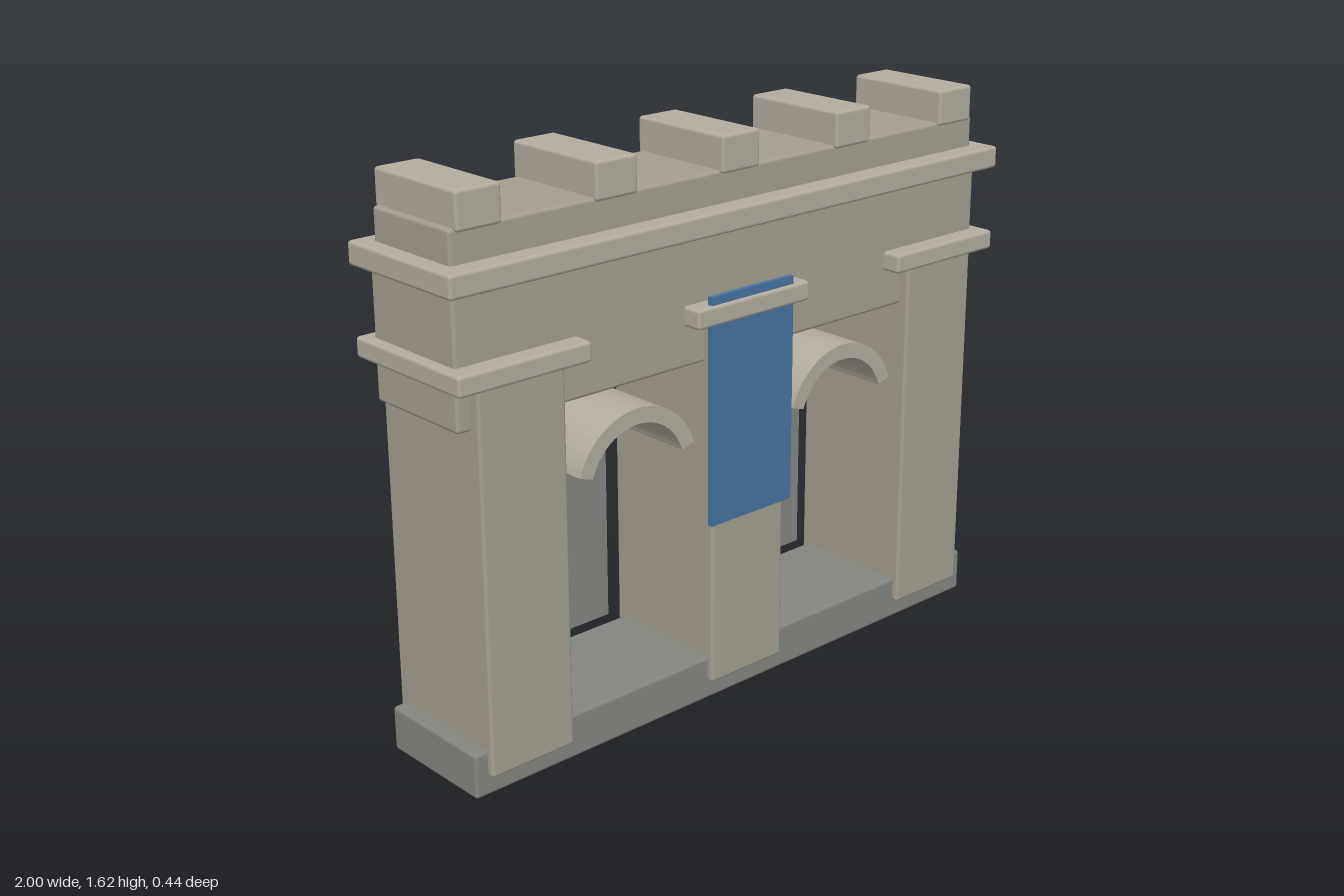
import * as THREE from 'three';
import { RoundedBoxGeometry } from 'three/addons/geometries/RoundedBoxGeometry.js';

const material = (color) => new THREE.MeshStandardMaterial({ color });

export function createModel() {
  const model = new THREE.Group();
  model.name = 'gateway';
  const stone = material(0xa59e90);
  const trim = material(0xb3ac9e);
  const darkStone = material(0x858580);
  const cloth = material(0x45739f);

  const add = (name, geometry, mat, x, y, z) => {
    const mesh = new THREE.Mesh(geometry, mat);
    mesh.name = name;
    mesh.position.set(x, y, z);
    model.add(mesh);
  };
  // Block with softened edges, given by its centre in x and its y and z ranges
  const block = (name, mat, x, width, [y0, y1], [z0, z1], bevel = 0.01) =>
    add(name, new RoundedBoxGeometry(width, y1 - y0, z1 - z0, 2, bevel), mat,
      x, (y0 + y1) / 2, (z0 + z1) / 2);
  // Sharp-edged slab
  const slab = (name, mat, x, width, [y0, y1], [z0, z1]) =>
    add(name, new THREE.BoxGeometry(width, y1 - y0, z1 - z0), mat,
      x, (y0 + y1) / 2, (z0 + z1) / 2);

  const cx = -0.003;

  // Plinth, upper wall, cornice and parapet
  block('base', darkStone, cx, 1.915, [0, 0.13], [-0.193, 0.178]);
  block('upperWall', stone, cx, 1.915, [1.015, 1.38], [-0.179, 0.163]);
  block('cornice', trim, 0, 2, [1.375, 1.44], [-0.218, 0.213]);
  block('parapet', stone, cx, 1.9, [1.43, 1.53], [-0.167, 0.152]);

  // Piers with their capitals
  ['right', 'middle', 'left'].forEach((side, i) => {
    const x = cx + (i - 1) * 0.78;
    block(side + 'Pier', stone, x, 0.275, [0.055, 1.14], [-0.212, 0.197]);
    block(side + 'Capital', trim, x, 0.417, [1.13, 1.187], [-0.218, 0.22]);
  });

  // Merlons along the top
  for (let i = -2; i <= 2; i++) {
    block('merlon', trim, cx + i * 0.4325, 0.138, [1.52, 1.625], [-0.177, 0.162]);
  }

  // Arch ring: a circular band cut off radially at both feet
  const foot = 0.314;
  const ring = new THREE.Shape();
  ring.absarc(0, 0, 0.21, foot, Math.PI - foot, false);
  ring.absarc(0, 0, 0.165, Math.PI - foot, foot, true);
  ring.closePath();
  const archGeometry = new THREE.ExtrudeGeometry(ring, {
    depth: 0.37, bevelEnabled: false, curveSegments: 12,
  });

  // Each opening: vault and the panel set at its back
  for (const side of [-1, 1]) {
    const x = cx + side * 0.39;
    add('archVault', archGeometry, trim, x, 0.74, -0.19);
    slab('doorPanel', darkStone, x, 0.325, [0.18, 0.84], [-0.173, -0.15]);
  }

  // Cloth hanging on the middle pier
  slab('banner', cloth, cx, 0.306, [0.55, 1.21], [0.196, 0.211]);

  return model;
}
